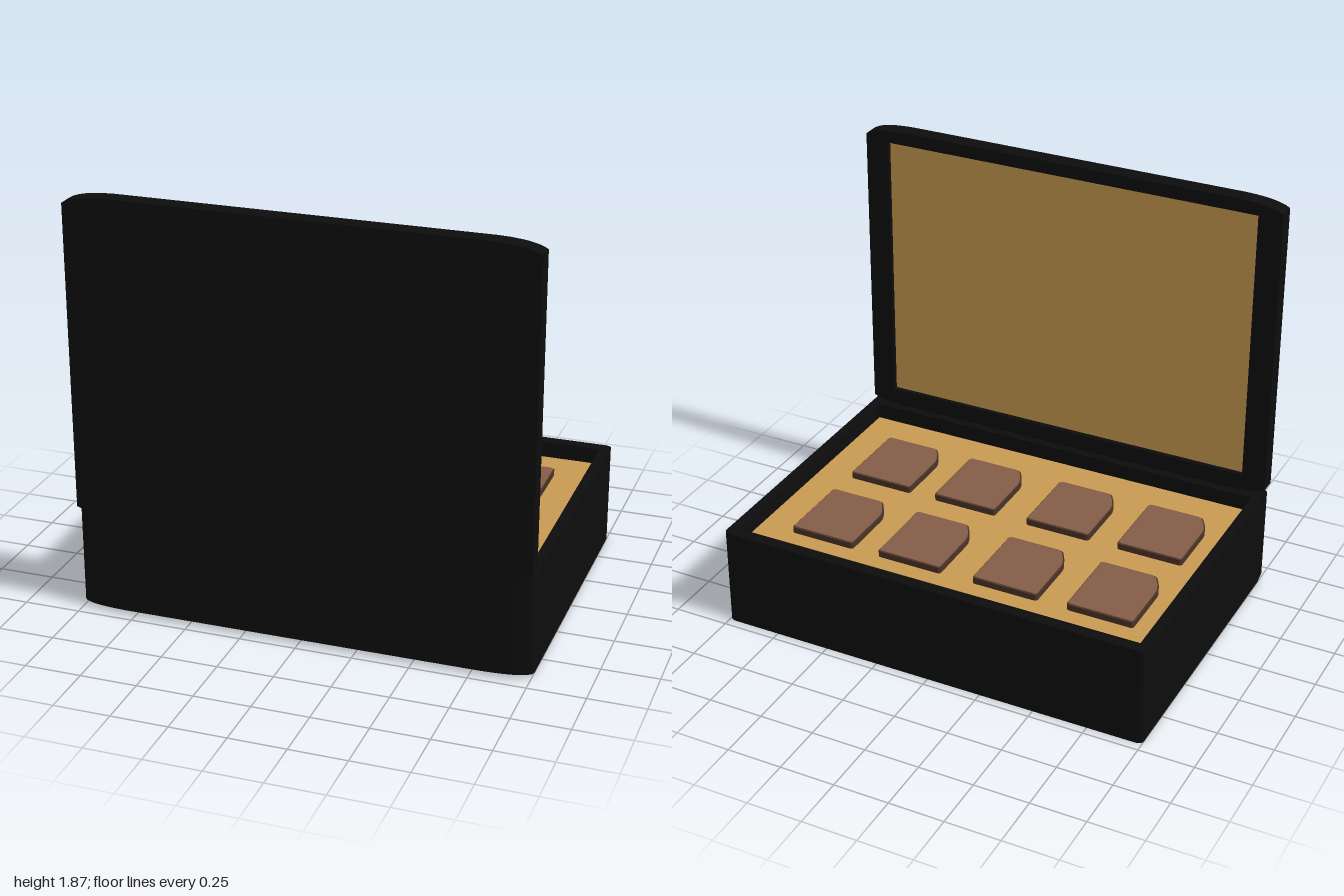
import * as THREE from 'three';

const black = new THREE.MeshStandardMaterial({ name: 'black card', color: 0x0d0d0d });
const gold = new THREE.MeshStandardMaterial({ name: 'gold lining', color: 0xc99b52 });
const brown = new THREE.MeshStandardMaterial({ name: 'milk chocolate', color: 0x835d48 });
const dark = new THREE.MeshStandardMaterial({ name: 'dark chocolate', color: 0x4a3327 });

function add(parent, name, geometry, material, x = 0, y = 0, z = 0) {
  const mesh = new THREE.Mesh(geometry, material);
  mesh.name = name;
  mesh.position.set(x, y, z);
  parent.add(mesh);
  return mesh;
}

function rectHole(x0, y0, x1, y1) {
  const p = new THREE.Path();
  p.moveTo(x0, y0).lineTo(x0, y1).lineTo(x1, y1).lineTo(x1, y0).closePath();
  return p;
}

const extrude = (shape, depth) =>
  new THREE.ExtrudeGeometry(shape, { depth, bevelEnabled: false, curveSegments: 6 });

// Flat outlines are drawn with shape y = -z, then laid down
const extrudeUp = (shape, depth) => extrude(shape, depth).rotateX(-Math.PI / 2);

// Footprint of the box: soft hinge corners at +z, tiny rounding at -z
function footprint() {
  const s = new THREE.Shape();
  s.moveTo(-0.8, -0.71).lineTo(0.8, -0.71);
  s.quadraticCurveTo(0.96, -0.705, 1, -0.67);
  s.lineTo(1, -0.62).lineTo(1, 0.685);
  s.quadraticCurveTo(1, 0.71, 0.965, 0.71);
  s.lineTo(-0.965, 0.71);
  s.quadraticCurveTo(-1, 0.71, -1, 0.685);
  s.lineTo(-1, -0.62).lineTo(-1, -0.67);
  s.quadraticCurveTo(-0.96, -0.705, -0.8, -0.71);
  return s;
}

// Upright lid outline
function lidOutline() {
  const s = new THREE.Shape();
  s.moveTo(-0.86, 0.46).lineTo(0.86, 0.46);
  s.quadraticCurveTo(0.96, 0.465, 1, 0.485);
  s.lineTo(1, 1.835);
  s.quadraticCurveTo(0.95, 1.867, 0.8, 1.87);
  s.lineTo(-0.8, 1.87);
  s.quadraticCurveTo(-0.95, 1.867, -1, 1.835);
  s.lineTo(-1, 0.485);
  s.quadraticCurveTo(-0.96, 0.465, -0.86, 0.46);
  return s;
}

// Piece outline with one cut corner at -x, +z
function pieceOutline(inset) {
  const w = 0.153 - inset, h = 0.18 - inset, r = 0.015;
  const s = new THREE.Shape();
  s.moveTo(-w + 0.065, -h).lineTo(w - r, -h);
  s.quadraticCurveTo(w, -h, w, -h + r);
  s.lineTo(w, h - r);
  s.quadraticCurveTo(w, h, w - r, h);
  s.lineTo(-w + r, h);
  s.quadraticCurveTo(-w, h, -w, h - r);
  s.lineTo(-w, -h + 0.11);
  s.quadraticCurveTo(-w, -h + 0.075, -w + 0.035, -h + 0.02);
  s.quadraticCurveTo(-w + 0.045, -h, -w + 0.065, -h);
  return s;
}

export function createModel() {
  const model = new THREE.Group();
  model.name = 'chocolateBox';

  // Base: floor with a lifted hinge edge, and walls
  const floor = extrudeUp(footprint(), 0.04);
  const pos = floor.attributes.position;
  for (let i = 0; i < pos.count; i++) {
    if (pos.getY(i) < 0.01 && pos.getZ(i) > 0.63) pos.setY(i, 0.02);
  }
  floor.computeVertexNormals();
  add(model, 'boxFloor', floor, black);
  const walls = footprint();
  walls.holes.push(rectHole(-0.955, -0.59, 0.955, 0.655));
  add(model, 'boxWalls', extrudeUp(walls, 0.42), black, 0, 0.04, 0);

  // Tray
  add(model, 'tray', new THREE.BoxGeometry(1.91, 0.02, 1.245), gold, 0, 0.377, -0.0325);

  // Chocolates
  const body = extrudeUp(pieceOutline(0), 0.028);
  const top = extrudeUp(pieceOutline(0.005), 0.005);
  for (const z of [-0.3, 0.22]) {
    for (const x of [-0.695, -0.253, 0.208, 0.64]) {
      const piece = new THREE.Group();
      piece.name = 'chocolate';
      piece.position.set(x, 0.387, z);
      add(piece, 'chocolateSide', body, dark);
      add(piece, 'chocolateTop', top, brown, 0, 0.028, 0);
      model.add(piece);
    }
  }

  // Lid: outer panel, raised frame and gold lining
  const lid = new THREE.Group();
  lid.name = 'lid';
  add(lid, 'lidPanel', extrude(lidOutline(), 0.04), black, 0, 0, 0.67);
  const frame = lidOutline();
  frame.holes.push(rectHole(-0.89, 0.54, 0.89, 1.81));
  add(lid, 'lidFrame', extrude(frame, 0.04), black, 0, 0, 0.63);
  add(lid, 'lidLining', new THREE.BoxGeometry(1.78, 1.27, 0.02), gold, 0, 1.175, 0.662);
  model.add(lid);
  return model;
}
